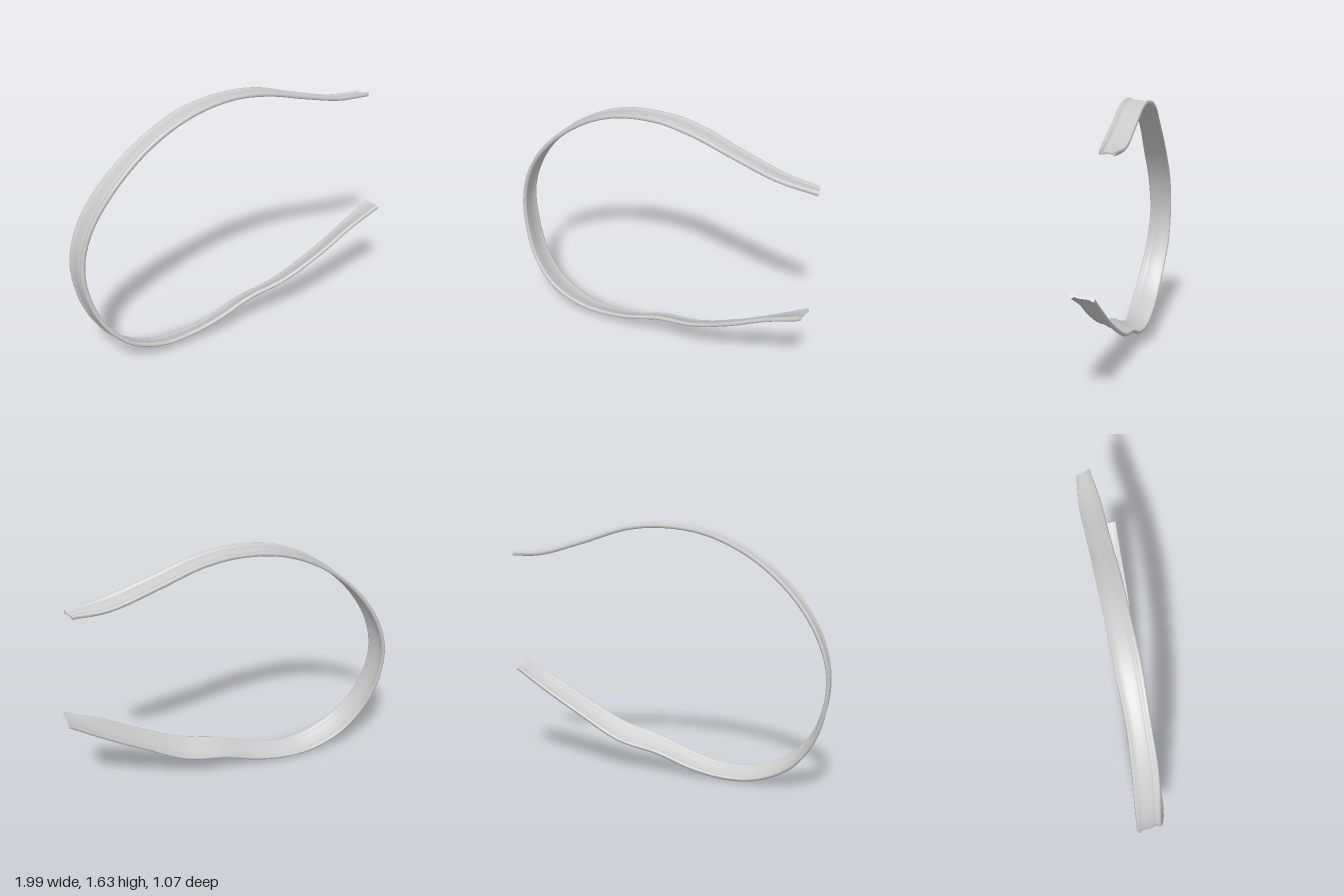
import * as THREE from 'three';

// Stations along the band: front edge xyz, back edge xyz
const STATIONS = [
  [0.97, 1.415, 0.37, 0.98, 1.405, 0.28],
  [0.73, 1.445, 0.30, 0.79, 1.415, 0.18],
  [0.47, 1.515, 0.20, 0.52, 1.495, 0.07],
  [0.20, 1.595, 0.10, 0.25, 1.585, -0.04],
  [-0.03, 1.62, 0.01, 0.02, 1.605, -0.13],
  [-0.30, 1.575, -0.09, -0.25, 1.56, -0.24],
  [-0.56, 1.43, -0.20, -0.52, 1.42, -0.34],
  [-0.79, 1.21, -0.29, -0.74, 1.21, -0.44],
  [-0.93, 0.97, -0.36, -0.88, 0.98, -0.51],
  [-0.985, 0.73, -0.385, -0.945, 0.75, -0.535],
  [-0.97, 0.50, -0.355, -0.93, 0.50, -0.515],
  [-0.90, 0.30, -0.29, -0.87, 0.30, -0.46],
  [-0.77, 0.155, -0.21, -0.75, 0.13, -0.385],
  [-0.57, 0.075, -0.13, -0.56, 0.03, -0.29],
  [-0.38, 0.075, -0.06, -0.38, 0.013, -0.21],
  [-0.20, 0.125, 0.02, -0.18, 0.045, -0.12],
  [0.02, 0.215, 0.115, 0.05, 0.13, -0.03],
  [0.25, 0.28, 0.23, 0.30, 0.19, 0.08],
  [0.50, 0.41, 0.35, 0.55, 0.33, 0.21],
  [0.72, 0.54, 0.44, 0.78, 0.475, 0.31],
  [0.93, 0.64, 0.53, 0.985, 0.62, 0.40],
];

// Cross-section: position across the width, outer height, inner height
const SECTION = [
  [0, 0.005, -0.005], [0.03, 0.012, -0.012], [0.09, 0.015, -0.014], [0.16, 0.009, -0.01],
  [0.22, 0.002, -0.009], [0.27, 0.004, -0.01], [0.34, 0.007, -0.007], [0.5, 0.006, -0.004],
  [0.7, 0.004, -0.004], [0.84, 0.005, -0.006], [0.91, 0.012, -0.013], [0.97, 0.012, -0.012],
  [1, 0.005, -0.005],
];
const SEGMENTS = 120;

function meshFrom(name, positions, index) {
  const geometry = new THREE.BufferGeometry();
  geometry.setAttribute('position', new THREE.Float32BufferAttribute(positions, 3));
  geometry.setIndex(index);
  geometry.computeVertexNormals();
  const material = new THREE.MeshStandardMaterial({ color: 0xcccccc, side: THREE.DoubleSide });
  const mesh = new THREE.Mesh(geometry, material);
  mesh.name = name;
  return mesh;
}

export function createModel() {
  const front = new THREE.CatmullRomCurve3(STATIONS.map((s) => new THREE.Vector3(s[0], s[1], s[2])));
  const back = new THREE.CatmullRomCurve3(STATIONS.map((s) => new THREE.Vector3(s[3], s[4], s[5])));

  // One closed ring of the section at t: outer side, then inner side reversed
  function ring(t) {
    const f = front.getPoint(t);
    const width = back.getPoint(t).sub(f);
    const tangent = front.getTangent(t).add(back.getTangent(t));
    const normal = width.clone().cross(tangent).normalize();
    const at = (u, h) => f.clone().addScaledVector(width, u).addScaledVector(normal, h);
    const outer = SECTION.map(([u, h]) => at(u, h));
    const inner = SECTION.map(([u, , h]) => at(u, h)).reverse();
    return [...outer, ...inner];
  }

  // Swept band
  const n = SECTION.length * 2;
  const positions = [];
  const index = [];
  for (let i = 0; i <= SEGMENTS; i++) {
    for (const p of ring(i / SEGMENTS)) positions.push(p.x, p.y, p.z);
    if (i === SEGMENTS) break;
    for (let j = 0; j < n; j++) {
      const a = i * n + j;
      const b = i * n + ((j + 1) % n);
      index.push(a, b, a + n, b, b + n, a + n);
    }
  }
  const group = new THREE.Group();
  group.name = 'openBand';
  group.add(meshFrom('band', positions, index));

  // Flat end faces, stitched between the outer and inner sides
  for (const [name, t] of [['upperEnd', 0], ['lowerEnd', 1]]) {
    const faces = [];
    for (let j = 0; j < SECTION.length - 1; j++) {
      const a = j, b = j + 1, c = n - 2 - j, d = n - 1 - j;
      if (t === 1) faces.push(a, b, c, a, c, d);
      else faces.push(a, c, b, a, d, c);
    }
    group.add(meshFrom(name, ring(t).flatMap((p) => p.toArray()), faces));
  }
  return group;
}
